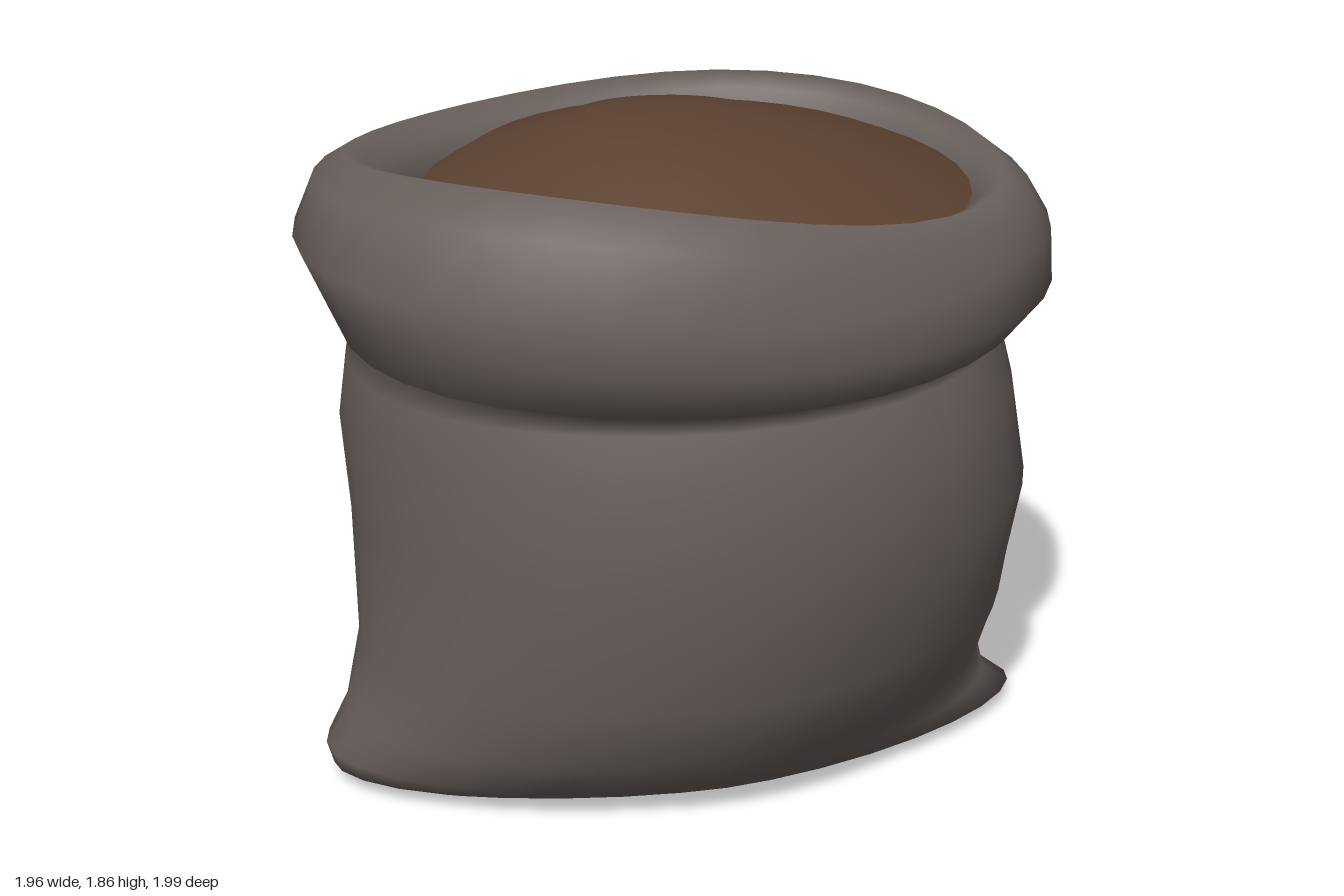
import * as THREE from 'three';

const SIDES = 36;
const LEVEL = [0, 0, 0];

// Skin a stack of rings [y, long radius, short radius, centre x, centre z, lean, roundness].
// Each ring is an oval lying along the diagonal. Lean is [saddle, tilt in x, tilt in z],
// and a roundness under 2 pinches the two far ends towards a point.
function loft(rings) {
  const positions = [], index = [];
  for (const [y, a, b, cx, cz, [saddle, tiltX, tiltZ] = LEVEL, round = 2] of rings) {
    const turn = THREE.MathUtils.degToRad(41 + Math.min(9, y * 6));
    for (let i = 0; i < SIDES; i++) {
      const t = (i / SIDES) * Math.PI * 2;
      const c = Math.cos(t), s = Math.sin(t);
      const ripple = 1 + 0.006 * (Math.sin(3 * t + 4 * y) + 0.7 * Math.sin(5 * t - 5 * y + 1));
      const u = a * ripple * Math.sign(c) * Math.abs(c) ** (2 / round);
      const v = b * ripple * Math.sign(s) * Math.abs(s) ** (2 / round);
      const x = u * Math.cos(turn) + v * Math.sin(turn);
      const z = -u * Math.sin(turn) + v * Math.cos(turn);
      const r = Math.hypot(x, z) || 1;
      const nx = x / r, nz = z / r;
      const lift = saddle * (nz * nz - nx * nx) + tiltX * nx + tiltZ * nz;
      positions.push(x + cx, y + lift, z + cz);
    }
  }
  for (let j = 0; j < rings.length - 1; j++) {
    for (let i = 0; i < SIDES; i++) {
      const k = (i + 1) % SIDES;
      const p = j * SIDES + i, q = j * SIDES + k;
      index.push(p, p + SIDES, q, q, p + SIDES, q + SIDES);
    }
  }
  const geometry = new THREE.BufferGeometry();
  geometry.setAttribute('position', new THREE.Float32BufferAttribute(positions, 3));
  geometry.setIndex(index);
  geometry.computeVertexNormals();
  return geometry;
}

export function createModel() {
  const cloth = new THREE.MeshStandardMaterial({ color: 0x6a615d, side: THREE.DoubleSide });
  cloth.name = 'greyCloth';
  const soil = new THREE.MeshStandardMaterial({ color: 0x5b4131 });
  soil.name = 'brownFilling';

  const group = new THREE.Group();
  group.name = 'openSack';

  // Cloth: base, sagging body, neck, rolled rim and inner lip in one skin
  const sack = new THREE.Mesh(loft([
    [0.01, 0, 0, 0.01, 0.04],
    [0.00, 0.62, 0.24, 0.01, 0.04, LEVEL, 1.8],
    [0.01, 0.93, 0.38, 0.01, 0.05, LEVEL, 1.8],
    [0.05, 1.03, 0.46, 0.02, 0.05, LEVEL, 1.7],
    [0.10, 1.00, 0.55, -0.04, 0.05, LEVEL, 1.8],
    [0.22, 0.95, 0.63, -0.02, 0.06, LEVEL, 1.85],
    [0.42, 0.95, 0.71, 0.02, 0.03, LEVEL, 1.95],
    [0.80, 0.98, 0.78, 0.05, 0.01],
    [1.08, 0.97, 0.79, 0.01, 0.01],
    [1.24, 0.94, 0.75, 0.00, 0.02, [0, -0.02, -0.02]],
    [1.30, 0.93, 0.74, 0.00, 0.02, [0, -0.04, -0.03]],
    [1.325, 0.97, 0.82, 0.02, 0.01, [0, -0.03, -0.03]],
    [1.42, 1.03, 0.88, 0.03, 0.01, [0, -0.03, 0]],
    [1.57, 1.065, 0.895, -0.015, 0.005, [0, -0.05, -0.02]],
    [1.70, 1.00, 0.87, -0.02, 0.00, [0.03, -0.04, 0.02]],
    [1.76, 0.92, 0.80, -0.02, -0.01, [0.05, -0.035, 0.03]],
    [1.72, 0.825, 0.735, 0.01, -0.03, [0.04, -0.03, 0.02]],
    [1.63, 0.76, 0.69, 0.025, -0.035, [0.02, -0.03, 0]],
    [1.50, 0.74, 0.67, 0.025, -0.035],
  ]), cloth);
  sack.name = 'sackCloth';

  // Domed heap inside the mouth
  const heap = new THREE.Mesh(loft([
    [1.65, 0.775, 0.70, 0.02, -0.04, [0.01, -0.03, -0.03]],
    [1.715, 0.64, 0.58, 0.01, -0.03, [0, -0.025, -0.025]],
    [1.78, 0.46, 0.42, -0.02, -0.02],
    [1.835, 0.27, 0.25, -0.06, -0.01],
    [1.86, 0.12, 0.11, -0.09, -0.01],
    [1.862, 0, 0, -0.1, -0.01],
  ]), soil);
  heap.name = 'filling';

  group.add(sack, heap);
  return group;
}
